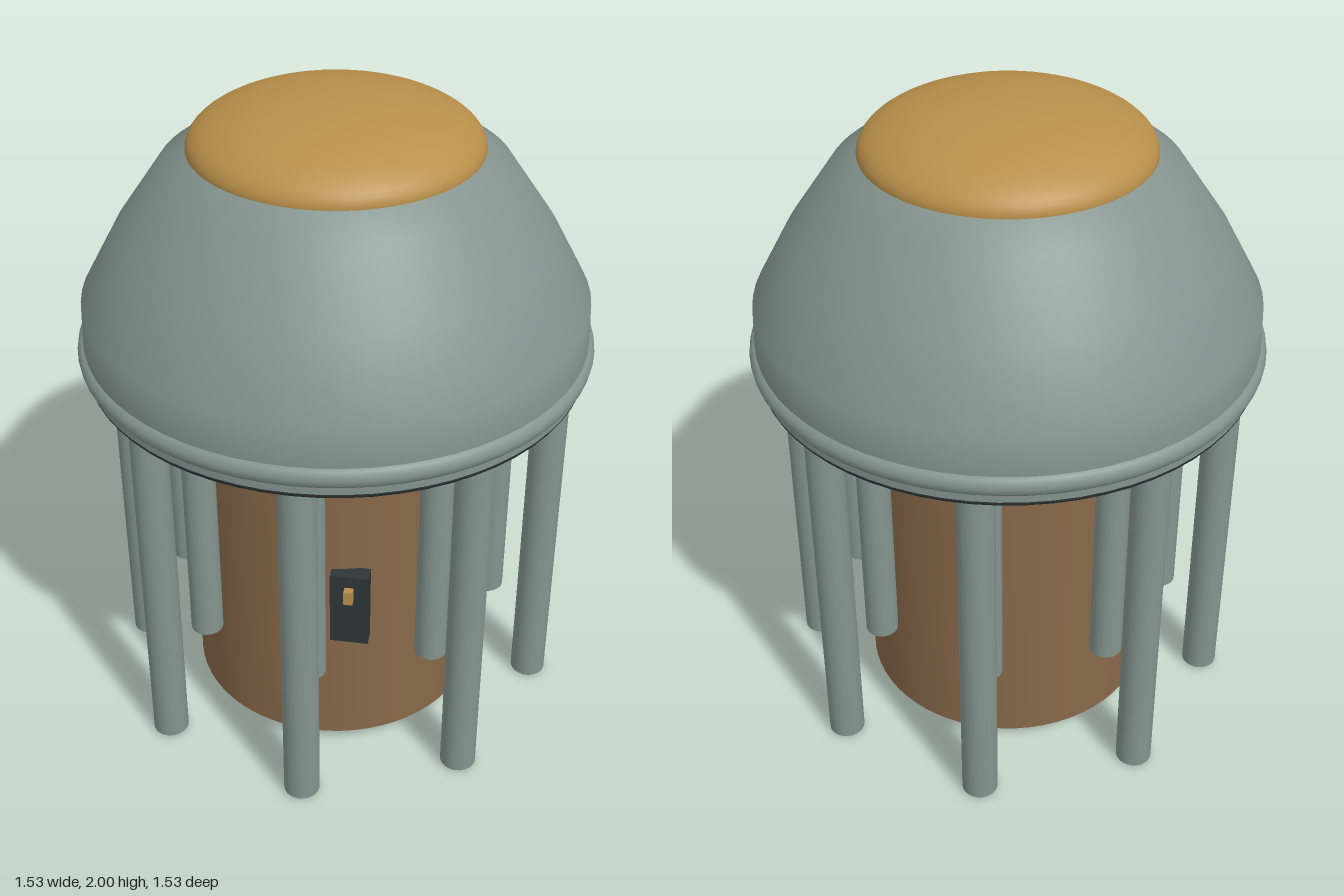
import * as THREE from 'three';
import { toCreasedNormals } from 'three/addons/utils/BufferGeometryUtils.js';

const paint = (name, color) => {
  const m = new THREE.MeshStandardMaterial({ color });
  m.name = name;
  return m;
};

export function createModel() {
  const model = new THREE.Group();
  model.name = 'domedTower';
  const grey = paint('greyGreen', 0x84948f);
  const brown = paint('brown', 0x876849);
  const gold = paint('gold', 0xb98f4a);
  const dark = paint('charcoal', 0x2e3637);

  const add = (name, geometry, material, x = 0, y = 0, z = 0) => {
    const mesh = new THREE.Mesh(geometry, material);
    mesh.name = name;
    mesh.position.set(x, y, z);
    model.add(mesh);
    return mesh;
  };
  const lathe = (points, segments = 64) =>
    new THREE.LatheGeometry(points.map(([x, y]) => new THREE.Vector2(x, y)), segments);

  // Solid cylinder with a small bevel at both ends
  const column = (r, bottom, top, bevel, segments) => toCreasedNormals(lathe([
    [0, bottom], [r - bevel, bottom], [r, bottom + bevel],
    [r, top - bevel], [r - bevel, top], [0, top],
  ], segments), 0.6);

  // Central drum
  add('drum', column(0.455, 0.03, 1.14, 0.015, 64), brown);

  // Ring of tall outer pillars and ring of short inner rods
  const pillar = column(0.055, 0, 1.19, 0.007, 24);
  const rod = column(0.05, 0.345, 1.06, 0.005, 24);
  for (let i = 0; i < 8; i++) {
    const a = (i * Math.PI) / 4, s = Math.sin(a), c = Math.cos(a);
    add('outerPillar' + (i + 1), pillar, grey, 0.655 * s, 0, 0.655 * c);
    add('innerRod' + (i + 1), rod, grey, 0.5 * s, 0, 0.5 * c);
  }

  // Rings below the dome
  const ring = (name, radius, tube, y, material) => {
    add(name, new THREE.TorusGeometry(radius, tube, 16, 64), material, 0, y, 0).rotation.x = Math.PI / 2;
  };
  ring('lowerRing', 0.725, 0.02, 1.2, dark);
  ring('domeRim', 0.73, 0.036, 1.256, grey);

  // Dome shell and its flat underside
  add('dome', lathe([
    [0.745, 1.2], [0.748, 1.29], [0.743, 1.41], [0.64, 1.6], [0.503, 1.8], [0.41, 1.865],
  ]), grey);
  add('domeUnderside', new THREE.CircleGeometry(0.73, 64), grey, 0, 1.2, 0).rotation.x = Math.PI / 2;

  // Shallow cap on top
  const cap = new THREE.SphereGeometry(0.42, 64, 16, 0, Math.PI * 2, 0, Math.PI / 2);
  cap.scale(1, 0.14 / 0.42, 1);
  add('cap', cap, gold, 0, 1.86, 0);

  // Control panel with a raised indicator on the drum
  add('controlPanel', new THREE.BoxGeometry(0.115, 0.25, 0.05), dark, 0.117, 0.585, 0.457);
  add('indicator', new THREE.BoxGeometry(0.027, 0.046, 0.03), gold, 0.117, 0.648, 0.49);

  return model;
}
